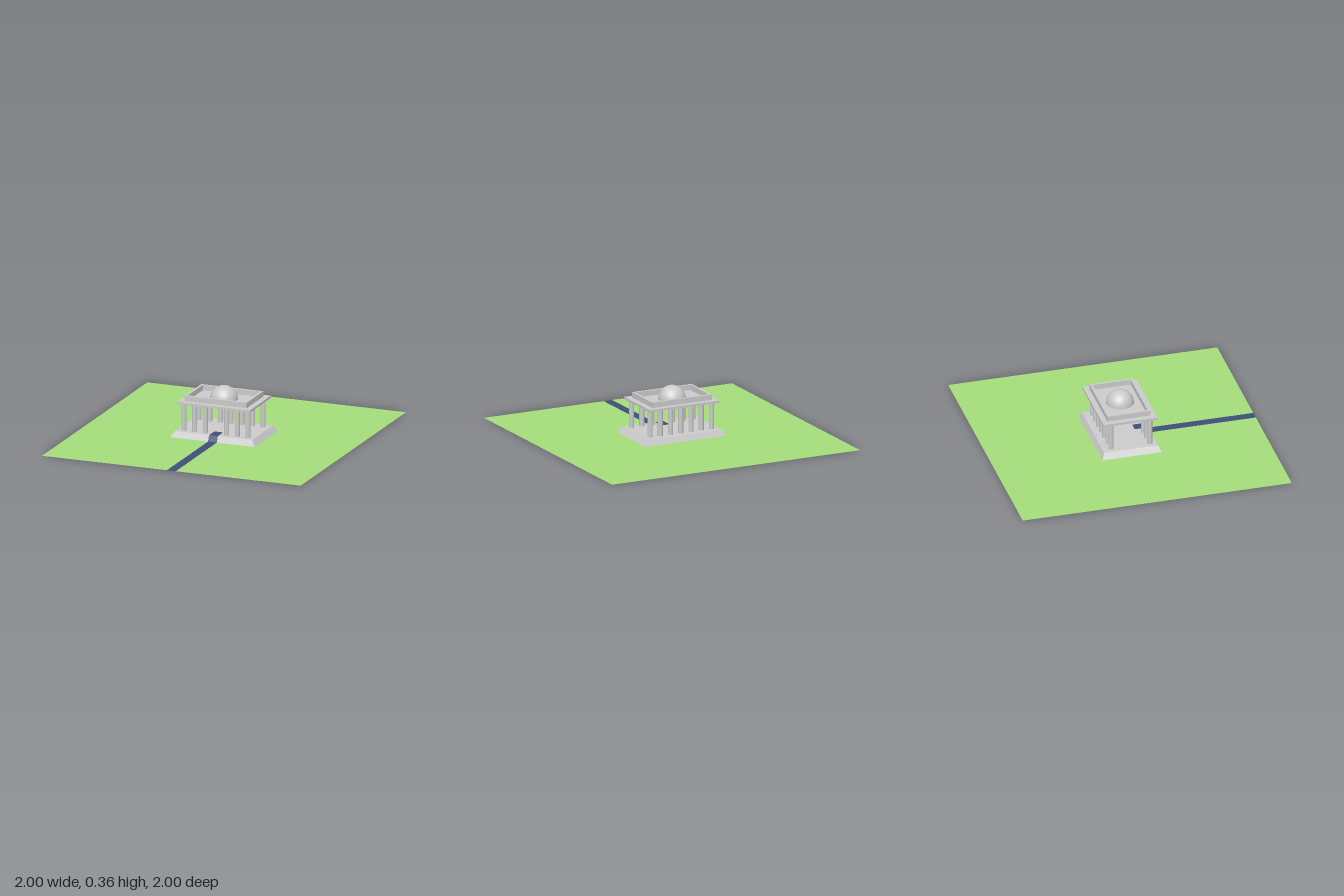
import * as THREE from 'three';

const GREY = 0xcccccc, GREEN = 0xa4dc7a, BLUE = 0x3d5079;
const BASE_H = 0.043;
const BOT = { x: 0.328, z: 0.22 };   // foot of the sloped base
const TOP = { x: 0.297, z: 0.2 };    // upper edge of the sloped base
const PATH = 0.034;                  // half width of the path
const PATH_END = 0.1;                // where the path stops on the floor

function mesh(name, geometry, color = GREY, side = THREE.FrontSide) {
  const m = new THREE.Mesh(geometry, new THREE.MeshStandardMaterial({ color, side }));
  m.name = name;
  return m;
}

// Flat horizontal sheet from an outline of [x, z] points
function sheet(points, y) {
  const shape = new THREE.Shape(points.map(([x, z]) => new THREE.Vector2(x, -z)));
  return new THREE.ShapeGeometry(shape).rotateX(-Math.PI / 2).translate(0, y, 0);
}

// Separate four-cornered faces, corners counter-clockwise from outside
function quads(list) {
  const pos = [];
  for (const [a, b, c, d] of list) pos.push(...a, ...b, ...c, ...a, ...c, ...d);
  const g = new THREE.BufferGeometry();
  g.setAttribute('position', new THREE.Float32BufferAttribute(pos, 3));
  g.computeVertexNormals();
  return g;
}

export function createModel() {
  const model = new THREE.Group();
  const both = THREE.DoubleSide;

  // Lawn, open under the base and along the path
  const { x: bx, z: bz } = BOT;
  model.add(mesh('lawn', sheet([
    [-1, 1], [-PATH, 1], [-PATH, bz], [-bx, bz], [-bx, -bz], [bx, -bz],
    [bx, bz], [PATH, bz], [PATH, 1], [1, 1], [1, -1], [-1, -1],
  ], 0), GREEN, both));

  // Base: hollow platform with sloped sides and a slot for the path
  const { x: tx, z: tz } = TOP, h = BASE_H;
  const base = new THREE.Group();
  base.name = 'base';
  base.add(mesh('baseFloor', sheet([
    [-tx, tz], [-PATH, tz], [-PATH, PATH_END], [PATH, PATH_END],
    [PATH, tz], [tx, tz], [tx, -tz], [-tx, -tz],
  ], h), GREY, both));
  base.add(mesh('baseSlopes', quads([
    [[-bx, 0, bz], [-PATH, 0, bz], [-PATH, h, tz], [-tx, h, tz]],
    [[PATH, 0, bz], [bx, 0, bz], [tx, h, tz], [PATH, h, tz]],
    [[bx, 0, bz], [bx, 0, -bz], [tx, h, -tz], [tx, h, tz]],
    [[bx, 0, -bz], [-bx, 0, -bz], [-tx, h, -tz], [tx, h, -tz]],
    [[-bx, 0, -bz], [-bx, 0, bz], [-tx, h, tz], [-tx, h, -tz]],
  ]), GREY, both));
  model.add(base);

  // Path: across the lawn, up the slope and onto the floor
  const profile = [[0, 1], [0, bz], [h, tz], [h, PATH_END]];
  model.add(mesh('path', quads(profile.slice(1).map(([y, z], i) => {
    const [y0, z0] = profile[i];
    return [[-PATH, y0, z0], [PATH, y0, z0], [PATH, y, z], [-PATH, y, z]];
  })), BLUE, both));

  // Columns: seven at the back, six in front with an entrance gap
  const columns = new THREE.Group();
  columns.name = 'columns';
  const columnH = 0.247 - h;
  const columnGeo = new THREE.CylinderGeometry(0.0185, 0.0185, columnH, 24);
  for (const [row, z] of [['front', 0.152], ['back', -0.136]]) {
    for (let i = -3; i <= 3; i++) {
      if (row === 'front' && i === 0) continue;
      const c = mesh(row + 'Column', columnGeo);
      c.position.set(i * 0.0825, h + columnH / 2, z);
      columns.add(c);
    }
  }
  model.add(columns);

  // Roof slab
  const slab = mesh('roofSlab', new THREE.BoxGeometry(0.564, 0.017, 0.4));
  slab.position.y = 0.2545;
  model.add(slab);

  // Parapet: open rectangular rim on the slab
  const rect = (C, x, z) => new C([[-x, -z], [x, -z], [x, z], [-x, z]]
    .map(([a, b]) => new THREE.Vector2(a, b)));
  const rim = rect(THREE.Shape, 0.24, 0.16);
  rim.holes.push(rect(THREE.Path, 0.222, 0.142));
  const rimGeo = new THREE.ExtrudeGeometry(rim, { depth: 0.04, bevelEnabled: false });
  const parapet = mesh('parapet', rimGeo.rotateX(-Math.PI / 2));
  parapet.position.y = 0.263;
  model.add(parapet);

  // Dome
  const dome = mesh('dome', new THREE.SphereGeometry(0.1, 32, 12, 0, Math.PI * 2, 0, Math.PI / 2));
  dome.position.y = 0.263;
  model.add(dome);

  return model;
}
